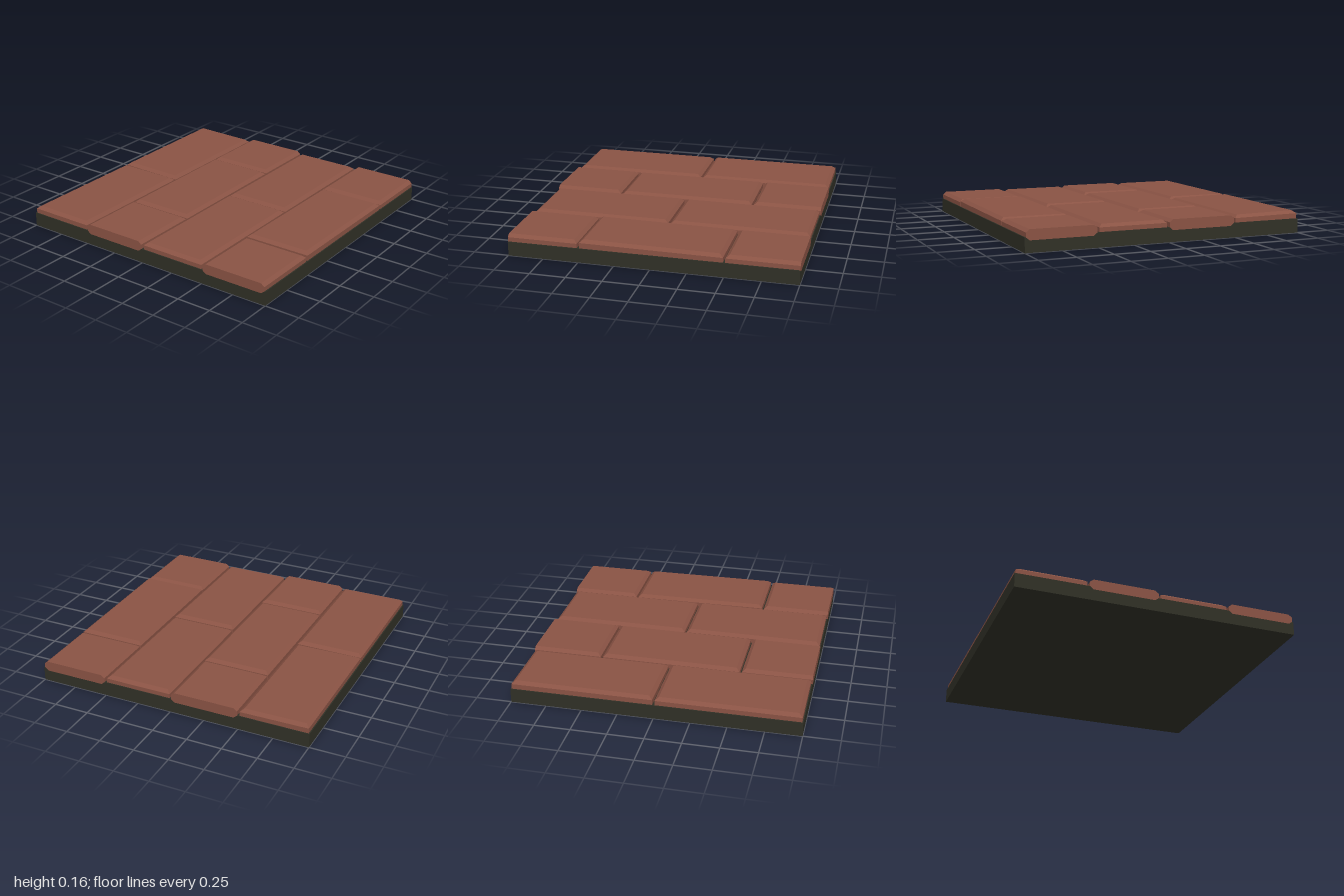
import * as THREE from 'three';

const BEVEL = 0.025;

// Chamfered brick lofted through four rectangular rings; cut ends stay flat.
// tiltX and tiltZ are the rise of the top from centre to the +x and +z edges.
function brickGeometry({ x0, x1, z0, z1, top, tiltX = 0, tiltZ = 0, cutLeft = false, cutRight = false }) {
  const cx = (x0 + x1) / 2, cz = (z0 + z1) / 2;
  const hx = (x1 - x0) / 2, hz = (z1 - z0) / 2;
  const levels = [[0.08, BEVEL, 0], [0.1, 0, 0], [top - 0.02, 0, 1], [top, BEVEL, 1]];
  const rings = levels.map(([y, inset, tilt]) => {
    const a = x0 + (cutLeft ? 0 : inset), b = x1 - (cutRight ? 0 : inset);
    const c = z0 + inset, d = z1 - inset;
    return [[a, d], [b, d], [b, c], [a, c]].map(([x, z]) =>
      [x, y + tilt * (tiltX * (x - cx) / hx + tiltZ * (z - cz) / hz), z]);
  });
  const pos = [];
  const quad = (a, b, c, d) => pos.push(...a, ...b, ...c, ...a, ...c, ...d);
  for (let r = 0; r < 3; r++) {
    for (let i = 0; i < 4; i++) {
      const j = (i + 1) % 4;
      quad(rings[r][i], rings[r][j], rings[r + 1][j], rings[r + 1][i]);
    }
  }
  quad(...rings[3]);
  quad(...[...rings[0]].reverse());
  const g = new THREE.BufferGeometry();
  g.setAttribute('position', new THREE.Float32BufferAttribute(pos, 3));
  g.computeVertexNormals();
  return g;
}

export function createModel() {
  const brick = new THREE.MeshStandardMaterial({ color: 0x8a5344 });
  brick.name = 'brick red';
  const mortar = new THREE.MeshStandardMaterial({ color: 0x303026 });
  mortar.name = 'dark mortar';

  const model = new THREE.Group();
  model.name = 'brickFloorTile';

  // Mortar base, a hair inside the cut brick ends
  const base = new THREE.Mesh(new THREE.BoxGeometry(1.998, 0.1, 2), mortar);
  base.name = 'mortarBase';
  base.position.y = 0.05;
  model.add(base);

  // Four courses in running bond: [top height, tiltX, tiltZ] for each brick
  const courses = [
    [[0.153, 0, 0], [0.153, 0, -0.003]],
    [[0.153, 0, 0], [0.152, 0.001, 0], [0.153, 0, 0]],
    [[0.151, 0.001, 0], [0.15, 0, 0]],
    [[0.151, 0, 0], [0.155, -0.003, 0.001], [0.151, 0, 0]],
  ];
  courses.forEach((course, row) => {
    const group = new THREE.Group();
    group.name = `brickCourse${row + 1}`;
    const z0 = -1 + row * 0.5 + 0.008, z1 = z0 + 0.484;
    const joints = course.length === 2 ? [-1, 0, 1] : [-1, -0.5, 0.5, 1];
    course.forEach(([top, tiltX, tiltZ], i) => {
      const cutLeft = course.length === 3 && i === 0;
      const cutRight = course.length === 3 && i === 2;
      const mesh = new THREE.Mesh(brickGeometry({
        x0: joints[i] + (cutLeft ? 0 : 0.008),
        x1: joints[i + 1] - (cutRight ? 0 : 0.008),
        z0, z1, top, tiltX, tiltZ, cutLeft, cutRight,
      }), brick);
      mesh.name = cutLeft || cutRight ? 'halfBrick' : 'fullBrick';
      group.add(mesh);
    });
    model.add(group);
  });
  return model;
}
